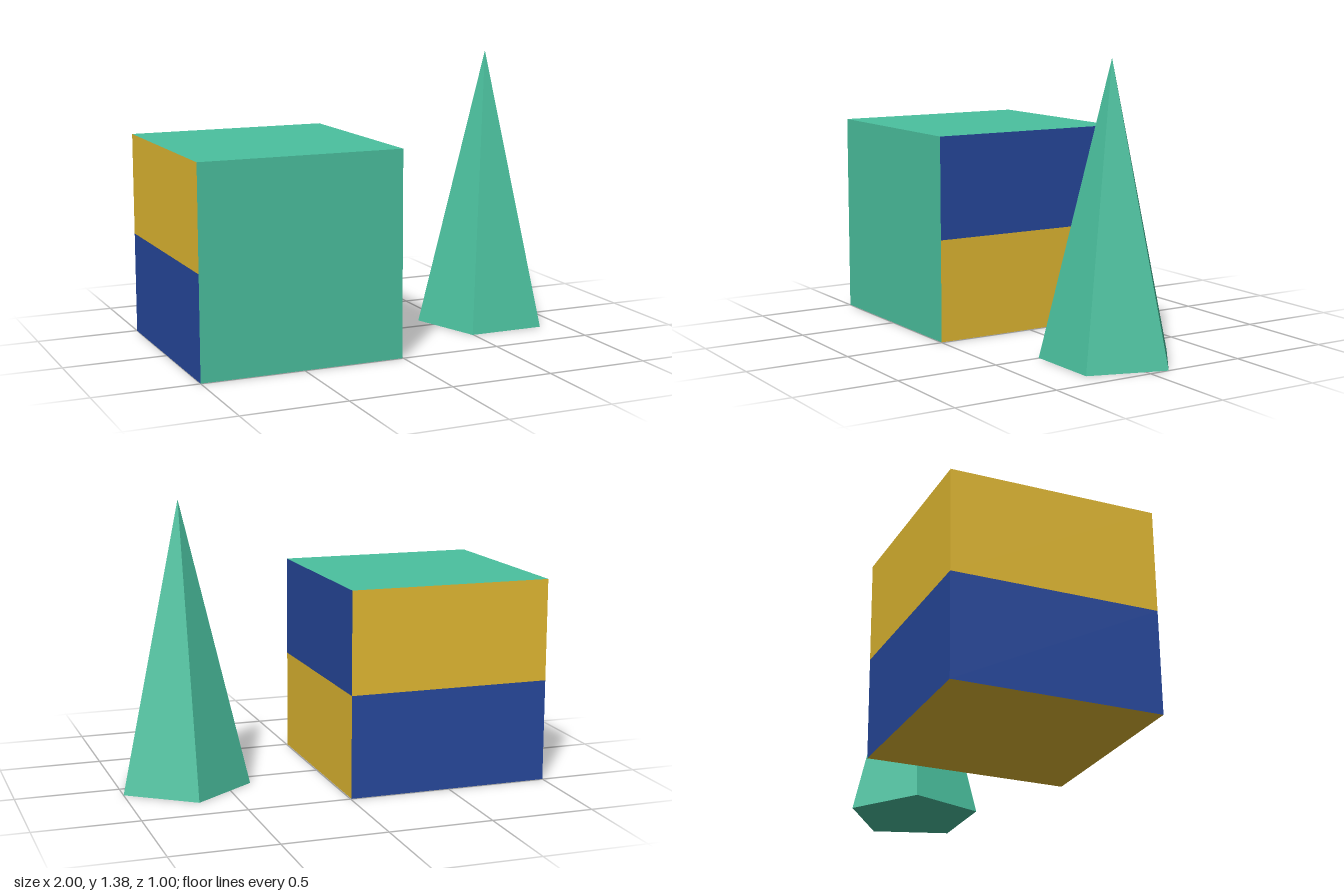
import * as THREE from 'three';

export function createModel() {
  const paint = (name, color) => {
    const m = new THREE.MeshStandardMaterial({ color });
    m.name = name;
    return m;
  };
  const green = paint('green', 0x4bc19f);
  const blue = paint('blue', 0x27499f);
  const yellow = paint('yellow', 0xe3ba32);

  const model = new THREE.Group();
  model.name = 'cubeAndPyramid';

  // Cube: two rows per side face, each row with its own colour
  const size = 0.995;
  const box = new THREE.BoxGeometry(size, size, size, 1, 2, 1);
  box.clearGroups();
  const GREEN = 0, BLUE = 1, YELLOW = 2;
  const faceRows = [
    [BLUE, YELLOW],   // +x side: upper, lower
    [YELLOW, BLUE],   // -x side
    [GREEN],          // top
    [YELLOW],         // bottom
    [GREEN, GREEN],   // front
    [YELLOW, BLUE],   // back
  ];
  faceRows.flat().forEach((colour, i) => box.addGroup(i * 6, 6, colour));
  const cube = new THREE.Mesh(box, [green, blue, yellow]);
  cube.name = 'cube';
  cube.position.set(-1 + size / 2, size / 2, 0);
  model.add(cube);

  // Five-sided pyramid, one base corner pointing to the back
  const height = 1.385;
  const cone = new THREE.ConeGeometry(0.328, height, 5, 1, false, Math.PI).toNonIndexed();
  cone.computeVertexNormals();
  const pyramid = new THREE.Mesh(cone, green);
  pyramid.name = 'pyramid';
  pyramid.position.set(0.688, height / 2, 0);
  model.add(pyramid);

  return model;
}
